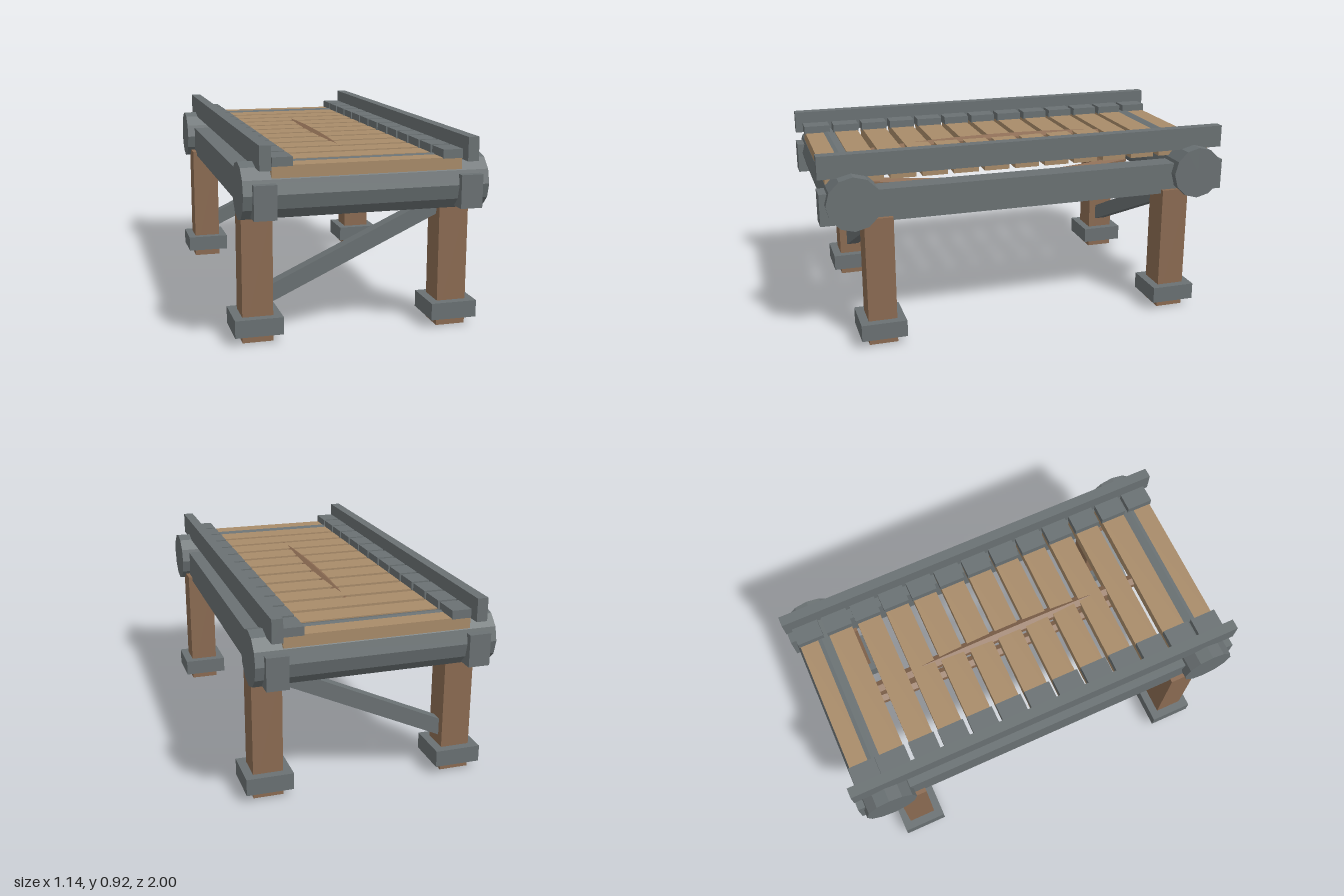
import * as THREE from 'three';

const mat = (color) => new THREE.MeshStandardMaterial({ color, flatShading: true });

export function createModel() {
  const model = new THREE.Group();
  model.name = 'plankPlatform';
  const grey = mat(0x6a7173), tan = mat(0xa88b69), brown = mat(0x8b6b52);

  const add = (name, geometry, material, x, y, z) => {
    const mesh = new THREE.Mesh(geometry, material);
    mesh.name = name;
    mesh.position.set(x, y, z);
    model.add(mesh);
    return mesh;
  };
  const box = (name, material, w, h, d, x, y, z) =>
    add(name, new THREE.BoxGeometry(w, h, d), material, x, y, z);

  // Legs with collars, one at each corner
  for (const sx of [-1, 1]) {
    for (const sz of [-1, 1]) {
      box('leg', brown, 0.14, 0.62, 0.135, sx * 0.46, 0.31, sz * 0.74);
      box('legCollar', grey, 0.22, 0.08, 0.215, sx * 0.46, 0.08, sz * 0.74);
    }
    // Long side beam and the raised rail above it
    box('sideBeam', grey, 0.1, 0.15, 2, sx * 0.46, 0.675, 0);
    box('rail', grey, 0.05, 0.107, 2, sx * 0.46, 0.863, 0);
  }

  // Twelve-sided cross logs and diagonal braces at both ends
  for (const sz of [-1, 1]) {
    const log = new THREE.CylinderGeometry(0.127, 0.127, 1.1, 12).rotateZ(Math.PI / 2);
    add('crossLog', log, grey, 0, 0.702, sz * 0.85);
    const brace = box('brace', grey, 0.94, 0.075, 0.06, 0, 0.39, sz * 0.74);
    brace.rotation.z = Math.atan2(0.36, 0.78);
  }

  // Deck planks, each pinned by a cap block at both ends
  for (let i = -6; i <= 6; i++) {
    const z = i * 0.15;
    box('plank', tan, 0.85, 0.054, 0.12, 0, 0.797, z);
    for (const sx of [-1, 1]) {
      box('plankCap', grey, 0.09, 0.04, 0.13, sx * 0.38, 0.84, z);
    }
  }

  // Hexagonal poles bent along a parabola: one arched under the deck, one sagging
  const bentPole = (name, midY, bend) => {
    const geo = new THREE.CylinderGeometry(0.032, 0.032, 1.4, 6, 16).rotateX(Math.PI / 2);
    const p = geo.attributes.position;
    for (let i = 0; i < p.count; i++) {
      p.setY(i, p.getY(i) + bend * p.getZ(i) ** 2);
    }
    geo.computeVertexNormals();
    add(name, geo, brown, 0, midY, 0);
  };
  bentPole('archedPole', 0.804, -0.055);
  bentPole('saggingPole', 0.582, 0.1);

  return model;
}
